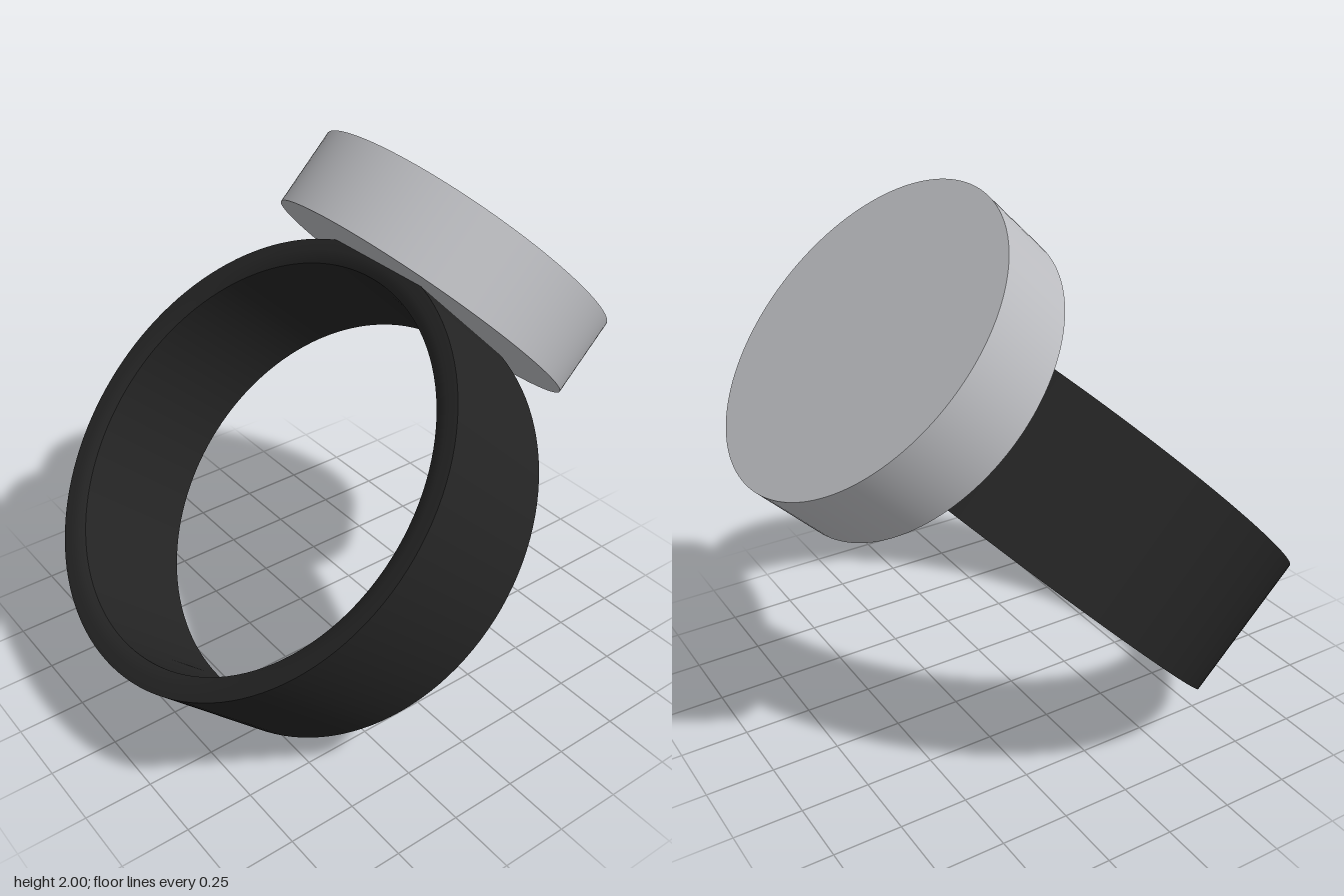
import * as THREE from 'three';
import { toCreasedNormals } from 'three/addons/utils/BufferGeometryUtils.js';

export function createModel() {
  const black = new THREE.MeshStandardMaterial({ color: 0x242424 });
  black.name = 'black band';
  const silver = new THREE.MeshStandardMaterial({ color: 0xbebfc3 });
  silver.name = 'silver face';

  // Ring tilted 45 degrees: local y points to the face, local x is the band axis
  const ring = new THREE.Group();
  ring.name = 'ring';
  ring.position.set(-0.205, 0.798, 0);
  ring.rotation.z = -Math.PI / 4;

  // Hollow band with slightly eased inner edges
  const R = 0.845, h = 0.277;
  const profile = [
    [R, -h], [R, h], [0.803, h], [0.775, h - 0.006], [0.757, h - 0.018],
    [0.757, -h + 0.018], [0.775, -h + 0.006], [0.803, -h], [R, -h],
  ].map(([r, y]) => new THREE.Vector2(r, y));
  const bandGeometry = toCreasedNormals(new THREE.LatheGeometry(profile, 128), 0.6);
  const band = new THREE.Mesh(bandGeometry, black);
  band.name = 'band';
  band.rotation.z = Math.PI / 2;
  ring.add(band);

  // Round flat face on top of the band
  const disc = new THREE.Mesh(new THREE.CylinderGeometry(0.6, 0.6, 0.29, 128), silver);
  disc.name = 'disc';
  disc.position.y = 0.957;
  ring.add(disc);

  const model = new THREE.Group();
  model.name = 'model';
  model.add(ring);
  return model;
}
